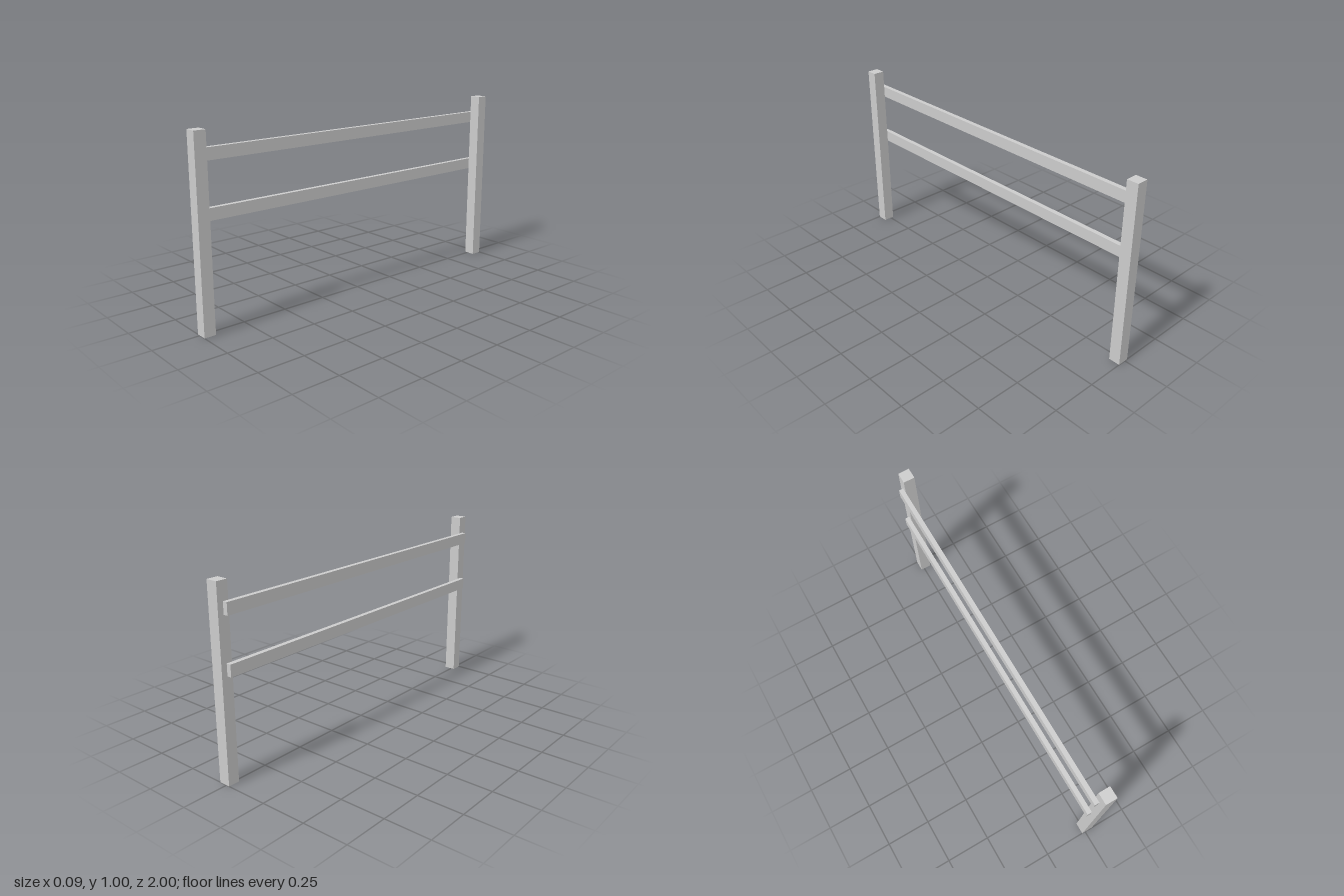
import * as THREE from 'three';

export function createModel() {
  const group = new THREE.Group();
  const material = new THREE.MeshStandardMaterial({ color: 0xcccccc, flatShading: true });

  const addBox = (name, size, position) => {
    const mesh = new THREE.Mesh(new THREE.BoxGeometry(...size), material);
    mesh.name = name;
    mesh.position.set(...position);
    group.add(mesh);
  };

  const post = 0.0625; // square post section
  const railThickness = 0.025;
  const halfWidth = (post + railThickness) / 2;

  // Two square posts at the ends
  for (const [name, side] of [['frontPost', 1], ['backPost', -1]]) {
    addBox(name, [post, 1, post], [halfWidth - post / 2, 0.5, side * (1 - post / 2)]);
  }

  // Two rails fixed to the right faces of the posts, ending at mid-post
  for (const [name, y] of [['upperRail', 0.873], ['lowerRail', 0.582]]) {
    addBox(name, [railThickness, post, 2 - post], [-halfWidth + railThickness / 2, y, 0]);
  }

  return group;
}
